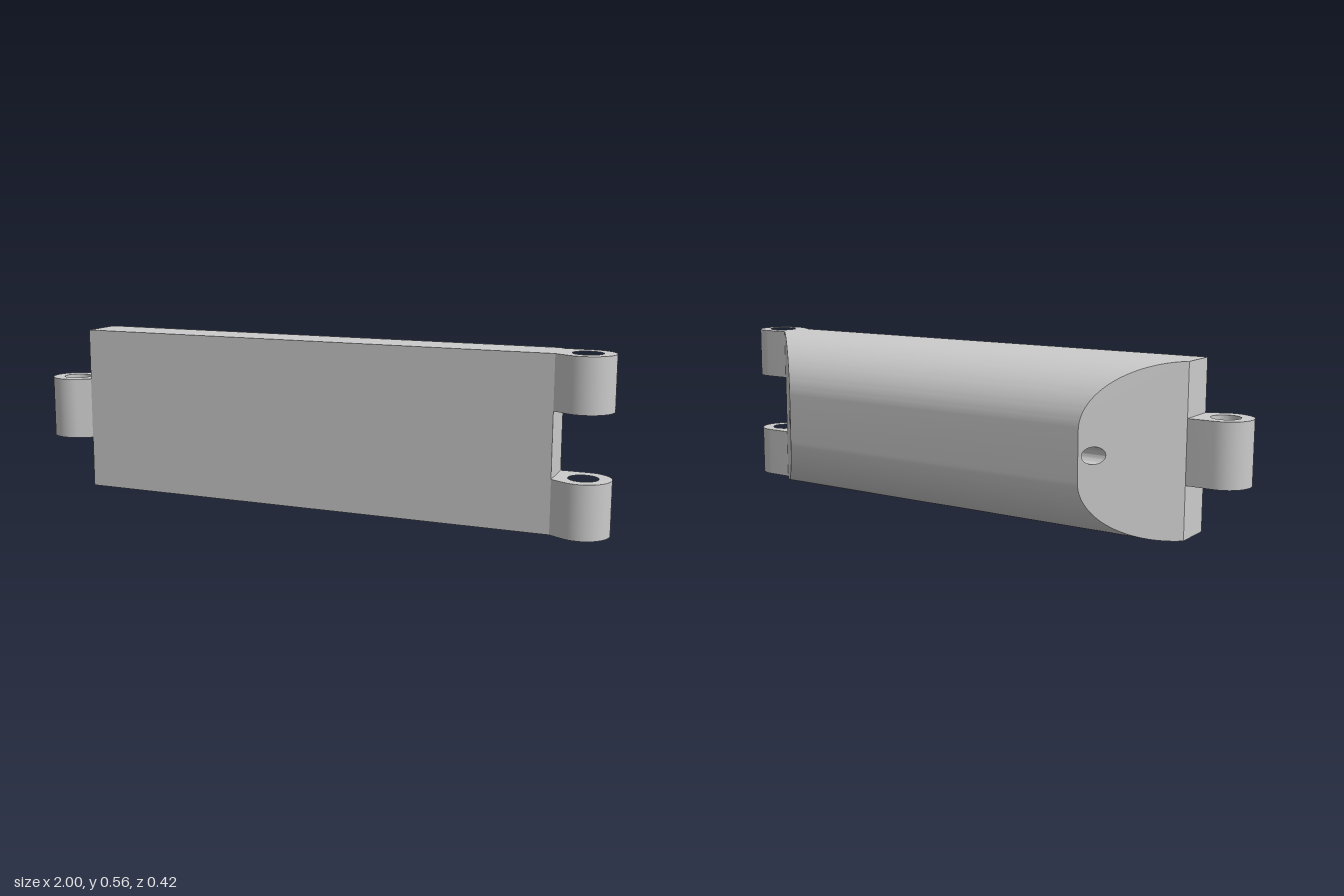
import * as THREE from 'three';
import { toCreasedNormals } from 'three/addons/utils/BufferGeometryUtils.js';

const H = 0.56, HALF = 0.825, Z_FRONT = 0.172, Z_SPLIT = 0.035, Z_BACK = -0.208;
const material = new THREE.MeshStandardMaterial({ color: 0xcccccc });

function addMesh(group, name, geometry) {
  const mesh = new THREE.Mesh(toCreasedNormals(geometry, 0.5), material);
  mesh.name = name;
  group.add(mesh);
  return mesh;
}

function circleHole(x, y, r) {
  const path = new THREE.Path();
  path.absarc(x, y, r, 0, Math.PI * 2, true);
  return path;
}

// Rounded back: D-shaped section run along x, its ends mitred at 45 degrees
function roundedBack() {
  const rx = Z_SPLIT - Z_BACK, ry = 0.2;
  const shape = new THREE.Shape();
  shape.moveTo(-Z_SPLIT, 0);
  shape.absellipse(-Z_SPLIT, ry, rx, ry, -Math.PI / 2, 0, false, 0);
  shape.absellipse(-Z_SPLIT, H - ry, rx, ry, 0, Math.PI / 2, false, 0);
  shape.closePath();
  shape.holes.push(circleHole(0.173, H / 2, 0.027));
  const geo = new THREE.ExtrudeGeometry(shape, { depth: 2, bevelEnabled: false, curveSegments: 20 });
  geo.translate(0, 0, -1).rotateY(Math.PI / 2);
  const p = geo.attributes.position;
  for (let i = 0; i < p.count; i++) {
    p.setX(i, p.getX(i) * (HALF - (Z_SPLIT - p.getZ(i))));
  }
  return geo;
}

// Hinge knuckle: round eye with a flat back edge and a tangent web to the front corner
function knuckle(side, y0, y1) {
  const cx = 0.913, cz = 0.122, r = 0.087, steps = 32;
  const points = [[HALF, Z_FRONT], [HALF, Z_SPLIT]];
  for (let i = 0; i <= steps; i++) {
    const a = -Math.PI / 2 + (i / steps) * (Math.PI * 7 / 6);
    points.push([cx + r * Math.cos(a), cz + r * Math.sin(a)]);
  }
  const shape = new THREE.Shape(points.map(([x, z]) => new THREE.Vector2(side * x, -z)));
  shape.holes.push(circleHole(side * cx, -cz, 0.047));
  const geo = new THREE.ExtrudeGeometry(shape, { depth: y1 - y0, bevelEnabled: false, curveSegments: 20 });
  return geo.rotateX(-Math.PI / 2).translate(0, y0, 0);
}

export function createModel() {
  const model = new THREE.Group();
  model.name = 'hingedLink';

  // Flat front slab
  const slab = new THREE.BoxGeometry(2 * HALF, H, Z_FRONT - Z_SPLIT);
  slab.translate(0, H / 2, (Z_FRONT + Z_SPLIT) / 2);
  addMesh(model, 'frontSlab', slab);

  addMesh(model, 'roundedBack', roundedBack());

  // One middle knuckle on the right, a pair on the left
  addMesh(model, 'rightKnuckle', knuckle(-1, 0.175, 0.385));
  addMesh(model, 'leftLowerKnuckle', knuckle(1, 0, 0.175));
  addMesh(model, 'leftUpperKnuckle', knuckle(1, 0.385, H));

  return model;
}
